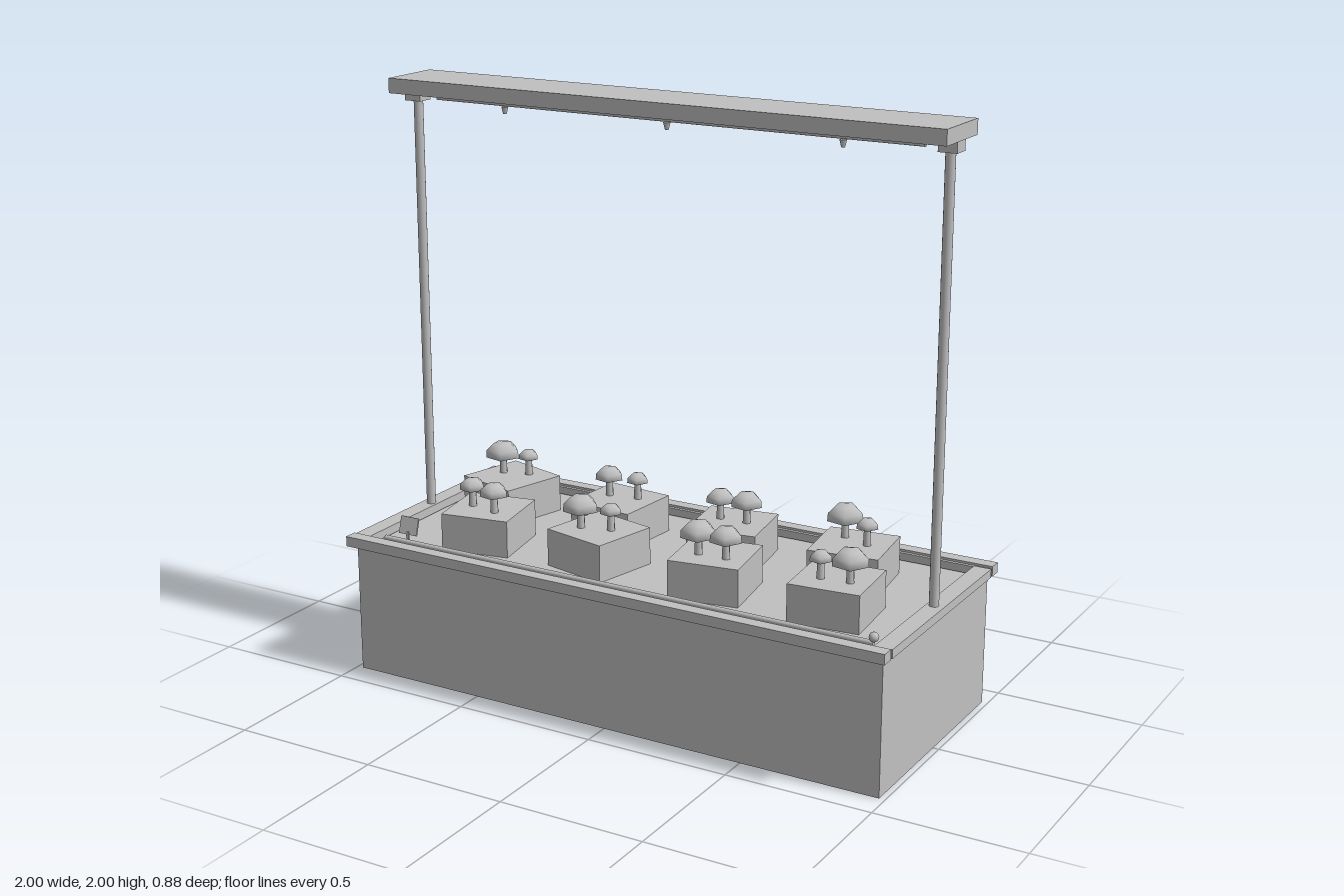
import * as THREE from 'three';

export function createModel() {
  const model = new THREE.Group();
  const grey = new THREE.MeshStandardMaterial({ color: 0xc0c0c0, side: THREE.DoubleSide });
  grey.name = 'light grey';

  const add = (name, geometry, x, y, z, parent = model) => {
    const mesh = new THREE.Mesh(geometry, grey);
    mesh.name = name;
    mesh.position.set(x, y, z);
    parent.add(mesh);
    return mesh;
  };
  const box = (name, w, h, d, x, y, z, parent) =>
    add(name, new THREE.BoxGeometry(w, h, d), x, y, z, parent);

  // Hollow trough body, open underneath; its top is the growing bed
  const bedY = 0.45;
  const shell = new THREE.BoxGeometry(1.96, bedY, 0.81);
  const index = Array.from(shell.index.array);
  index.splice(18, 6); // drop the bottom face
  shell.setIndex(index);
  shell.clearGroups();
  add('troughBody', shell, 0, bedY / 2, 0);

  // Rim: long rails with a lower inner step, and end rails
  for (const s of [-1, 1]) {
    box('longRail', 2, 0.035, 0.045, 0, 0.4715, s * 0.4175);
    box('railStep', 1.99, 0.027, 0.012, 0, 0.4675, s * 0.389);
    box('endRail', 0.06, 0.03, 0.77, s * 0.97, 0.469, 0);
  }

  // Posts and their top brackets
  for (const s of [-1, 1]) {
    add('post', new THREE.CylinderGeometry(0.016, 0.016, 1.48, 16), s * 0.965, 1.2, 0);
    box('postBracket', 0.062, 0.036, 0.06, s * 0.967, 1.933, 0);
  }

  // Overhead canopy with sprinkler pipe and nozzles
  box('canopy', 2, 0.05, 0.23, 0, 1.975, 0);
  const pipe = add('sprinklerPipe', new THREE.CylinderGeometry(0.008, 0.008, 1.77, 12), 0, 1.929, 0);
  pipe.rotation.z = Math.PI / 2;
  for (const x of [-0.615, 0, 0.615])
    add('nozzle', new THREE.CylinderGeometry(0.012, 0.006, 0.024, 10), x, 1.908, 0);

  // Drip line along the front of the bed with an end valve
  const drip = add('dripLine', new THREE.CylinderGeometry(0.009, 0.009, 1.83, 10), 0, 0.468, 0.333);
  drip.rotation.z = Math.PI / 2;
  add('valve', new THREE.SphereGeometry(0.016, 12, 8), 0.915, 0.488, 0.333);

  // Small leaning plant sign
  const sign = box('sign', 0.072, 0.06, 0.006, -0.835, 0.515, 0.305);
  sign.rotation.x = -0.28;
  box('signStake', 0.01, 0.05, 0.006, -0.835, 0.472, 0.314);

  // Mushroom cap: low five-sided dome with a slightly tucked edge
  const capGeometry = new THREE.SphereGeometry(1, 5, 3, 0, Math.PI * 2, 0, Math.PI * 0.58);
  const blockTop = 0.578;
  const mushroom = (x, z, r) => {
    const group = new THREE.Group();
    group.name = 'mushroom';
    group.position.set(x, blockTop, z);
    model.add(group);
    const capY = 0.058 + 0.2 * r;
    add('stem', new THREE.CylinderGeometry(0.011, 0.014, capY + 0.01, 8), 0, capY / 2, 0, group);
    const cap = add('cap', capGeometry, 0, capY, 0, group);
    cap.scale.set(r, r * 0.72, r);
    cap.rotation.y = -Math.PI / 2 - 0.2;
  };

  // Growing blocks: x, z, turn, then mushrooms as x, z, radius
  const blocks = [
    [-0.727, -0.16, -0.27, [-0.775, -0.178, 0.063], [-0.685, -0.205, 0.037]],
    [-0.27, -0.145, -0.09, [-0.32, -0.158, 0.05], [-0.217, -0.175, 0.038]],
    [0.174, -0.138, 0.155, [0.125, -0.142, 0.05], [0.222, -0.147, 0.055]],
    [0.615, -0.15, 0.13, [0.565, -0.187, 0.064], [0.66, -0.153, 0.038]],
    [-0.61, 0.155, 0.18, [-0.665, 0.168, 0.045], [-0.562, 0.19, 0.05]],
    [-0.174, 0.147, -0.22, [-0.23, 0.168, 0.062], [-0.13, 0.142, 0.038]],
    [0.27, 0.154, 0.155, [0.228, 0.19, 0.062], [0.325, 0.184, 0.056]],
    [0.7, 0.15, 0.09, [0.66, 0.184, 0.038], [0.757, 0.174, 0.062]],
  ];
  for (const [x, z, turn, ...caps] of blocks) {
    const h = blockTop - bedY;
    box('growingBlock', 0.24, h, 0.24, x, bedY + h / 2, z).rotation.y = turn;
    for (const c of caps) mushroom(...c);
  }

  return model;
}
